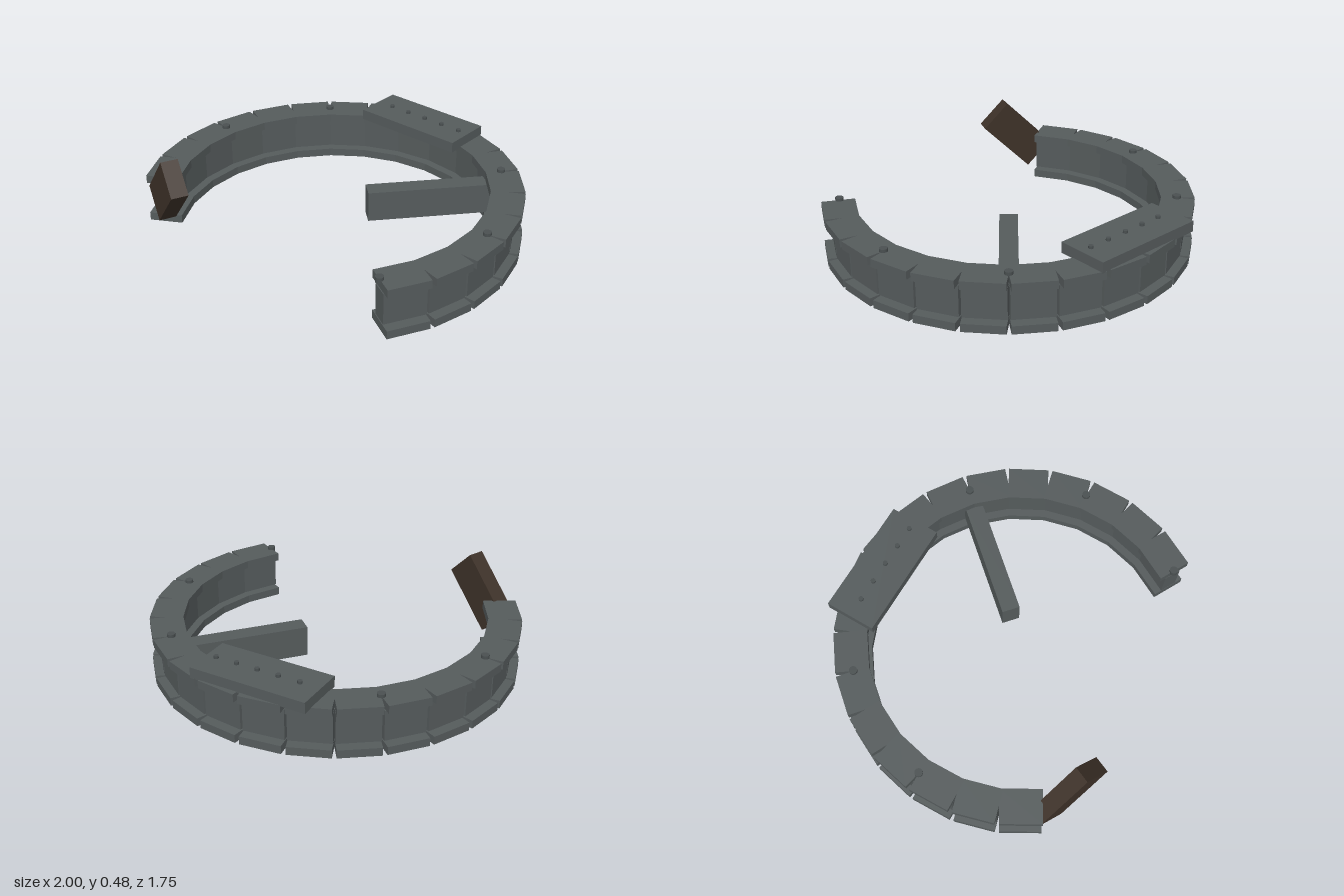
import * as THREE from 'three';

const rad = THREE.MathUtils.degToRad;
const SEGMENTS = 18, STEP = 14, START = 35, RADIUS = 0.91, CENTRE_Z = 0.13;

export function createModel() {
  const model = new THREE.Group();
  const steel = new THREE.MeshStandardMaterial({ color: 0x555b5c });
  steel.name = 'grey steel';
  const dark = new THREE.MeshStandardMaterial({ color: 0x4a5051 });
  dark.name = 'dark steel';
  const rust = new THREE.MeshStandardMaterial({ color: 0x3d3128 });
  rust.name = 'rusty brown';

  const add = (parent, name, geometry, material, x, y, z) => {
    const mesh = new THREE.Mesh(geometry, material);
    mesh.name = name;
    mesh.position.set(x, y, z);
    parent.add(mesh);
    return mesh;
  };

  // Broken ring; each spoke group points its +x axis outwards
  const ring = new THREE.Group();
  ring.name = 'brokenRing';
  ring.position.z = CENTRE_Z;
  model.add(ring);
  const spoke = (name, degrees) => {
    const group = new THREE.Group();
    group.name = name;
    group.rotation.y = -rad(degrees);
    ring.add(group);
    return group;
  };

  // I-beam segments: two wide flanges and a narrower web
  const flange = new THREE.BoxGeometry(0.18, 0.045, 0.222);
  const web = new THREE.BoxGeometry(0.095, 0.17, 0.222);
  const bolt = new THREE.CylinderGeometry(0.022, 0.022, 0.03, 12);
  for (let i = 0; i < SEGMENTS; i++) {
    const segment = spoke('ringSegment', START - STEP * (i + 0.5));
    add(segment, 'lowerFlange', flange, steel, RADIUS, 0.0225, 0);
    add(segment, 'web', web, steel, RADIUS - 0.003, 0.137, 0);
    add(segment, 'upperFlange', flange, steel, RADIUS, 0.2525, 0);
    // A bolt on every third joint
    if (i % 3 === 0) {
      add(spoke('jointBolt', START - STEP * i), 'bolt', bolt, dark, RADIUS, 0.277, 0);
    }
  }

  // Broken spoke reaching in towards the middle
  const beam = spoke('brokenSpoke', -49);
  add(beam, 'spokeBeam', new THREE.BoxGeometry(0.71, 0.17, 0.098), steel, 0.535, 0.14, 0);

  // Riveted plate across the back
  add(model, 'plate', new THREE.BoxGeometry(0.65, 0.06, 0.28), steel, -0.06, 0.3, -0.705);
  const rivet = new THREE.CylinderGeometry(0.013, 0.013, 0.03, 10);
  for (let i = 0; i < 5; i++) {
    add(model, 'rivet', rivet, dark, -0.275 + i * 0.12, 0.33, -0.705);
  }

  // Tilted rusty fragment at the broken end
  const fragment = add(model, 'rustyFragment', new THREE.BoxGeometry(0.39, 0.2, 0.092), rust, -0.6, 0.275, 0.752);
  fragment.rotation.set(0, rad(-23), rad(45), 'YXZ');

  return model;
}
